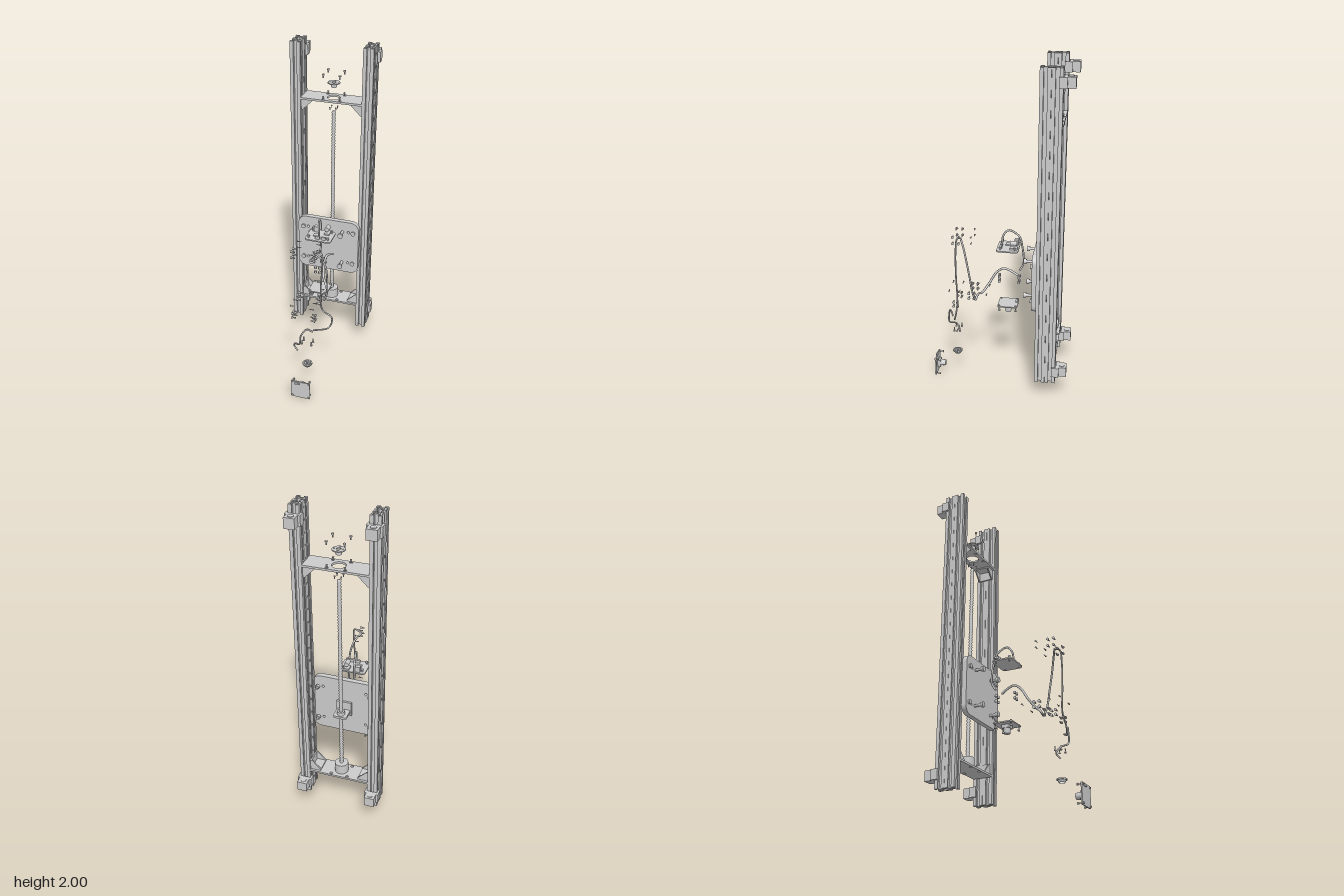
import * as THREE from 'three';

const grey = new THREE.MeshStandardMaterial({ color: 0xcccccc, side: THREE.DoubleSide });
const RZ = -0.296; // depth of the rails and lead screw

export function createModel() {
  const model = new THREE.Group();

  const add = (name, geo, x = 0, y = 0, z = 0, parent = model) => {
    const m = new THREE.Mesh(geo, grey);
    m.name = name;
    m.position.set(x, y, z);
    parent.add(m);
    return m;
  };
  const box = (name, w, h, d, x, y, z, parent) => add(name, new THREE.BoxGeometry(w, h, d), x, y, z, parent);
  const cyl = (name, r, h, x, y, z, parent, r2 = r) =>
    add(name, new THREE.CylinderGeometry(r2, r, h, 20), x, y, z, parent);
  const extrude = (shape, depth) =>
    new THREE.ExtrudeGeometry(shape, { depth, bevelEnabled: false, curveSegments: 16 });
  const hole = (shape, x, y, r) => shape.holes.push(new THREE.Path().absarc(x, y, r, 0, Math.PI * 2, true));
  const roundRect = (w, h, r) => {
    const s = new THREE.Shape(), a = w / 2 - r, b = h / 2 - r, q = Math.PI / 2;
    s.absarc(a, b, r, 0, q).absarc(-a, b, r, q, 2 * q);
    s.absarc(-a, -b, r, 2 * q, 3 * q).absarc(a, -b, r, 3 * q, 4 * q);
    return s;
  };
  const up = new THREE.Vector3(0, 1, 0);
  // Screw whose head is centred at the given point, with the shank running along dir
  const screw = (name, x, y, z, dir, len = 0.02, r = 0.007, parent = model) => {
    const g = new THREE.Group();
    g.name = name;
    cyl('screwHead', r, r, 0, 0, 0, g, r * 0.85);
    cyl('screwShank', r * 0.5, len, 0, len / 2, 0, g);
    g.position.set(x, y, z);
    g.quaternion.setFromUnitVectors(up, new THREE.Vector3(...dir));
    parent.add(g);
  };

  // Slotted rails: two square cells side by side
  const h = 0.0305;
  const side = [[-h, h], [-0.01, h], [-0.01, h - 0.006], [-0.019, h - 0.006], [-0.019, 0.021], [-0.01, 0.012],
    [0.01, 0.012], [0.019, 0.021], [0.019, h - 0.006], [0.01, h - 0.006], [0.01, h]];
  const cell = new THREE.Shape();
  const pts = [];
  for (let k = 0; k < 4; k++) {
    const c = Math.cos(k * Math.PI / 2), s = -Math.sin(k * Math.PI / 2);
    for (const [x, y] of side) pts.push(new THREE.Vector2(x * c - y * s, x * s + y * c));
  }
  cell.setFromPoints(pts);
  hole(cell, 0, 0, 0.006);
  const cellGeo = extrude(cell, 1.88).rotateX(-Math.PI / 2);

  // Triangular side of a corner gusset
  const tri = new THREE.Shape([[0, 0], [0.065, 0], [0.065, -0.01], [0.01, -0.065], [0, -0.065]]
    .map(p => new THREE.Vector2(...p)));

  for (const sx of [-1, 1]) {
    for (const dz of [-0.031, 0.031]) add('rail', cellGeo, sx * 0.213, 0.12, RZ + dz);

    // Rear mounting feet clipped around the rails
    for (const y of [0.2, 1.925]) {
      const foot = new THREE.Group();
      foot.name = 'rearFoot';
      foot.position.set(sx * 0.213, y, 0);
      box('footBlock', 0.06, 0.06, 0.06, 0, 0, -0.393, foot);
      box('footBridge', 0.086, 0.06, 0.018, 0, 0, -0.37, foot);
      for (const s of [-1, 1]) box('footTab', 0.012, 0.06, 0.042, s * 0.037, 0, -0.356, foot);
      cyl('footBoss', 0.017, 0.004, 0, 0.031, -0.395, foot);
      model.add(foot);
    }

    // Corner gussets below the top plate and above the bottom plate
    for (const [y, flip] of [[1.662, 1], [0.29, -1]]) {
      const g = new THREE.Group();
      g.name = 'cornerGusset';
      for (const z of [-0.345, -0.255]) add('gussetSide', extrude(tri, 0.008), 0, 0, z, g);
      box('gussetFoot', 0.065, 0.008, 0.09, 0.0325, -0.004, -0.296, g);
      box('gussetWall', 0.008, 0.065, 0.09, 0.004, -0.0325, -0.296, g);
      g.position.set(sx * 0.183, y, 0);
      g.scale.set(-sx, flip, 1);
      model.add(g);
    }
  }

  // Cross plates, the top one with a bearing opening
  const plate = (open) => {
    const s = roundRect(0.37, 0.124, 0.003);
    for (const x of [-0.05, 0.05]) for (const y of [-0.048, 0.048]) hole(s, x, y, 0.009);
    if (open) hole(s, 0, 0, 0.038);
    return extrude(s, 0.012).rotateX(-Math.PI / 2);
  };
  add('topPlate', plate(true), 0, 1.662, RZ);
  add('bottomPlate', plate(false), 0, 0.278, RZ);
  cyl('screwCoupler', 0.04, 0.062, 0, 0.32, RZ);

  // Threaded lead screw
  const thread = [new THREE.Vector2(0, 0.33)];
  for (let i = 0; i <= 140; i++) thread.push(new THREE.Vector2(i % 2 ? 0.0125 : 0.009, 0.33 + i * 0.009));
  thread.push(new THREE.Vector2(0, 1.59));
  add('leadScrew', new THREE.LatheGeometry(thread, 14), 0, 0, RZ);

  // Bearing flange and its screws lifted above the top plate
  const flange = new THREE.Shape().absarc(0, 0, 0.036, 0, Math.PI * 2);
  hole(flange, 0, 0, 0.013);
  for (let k = 0; k < 4; k++) hole(flange, 0.025 * Math.cos(k * 1.571), 0.025 * Math.sin(k * 1.571), 0.004);
  add('bearingFlange', extrude(flange, 0.006).rotateX(-Math.PI / 2), 0, 1.76, RZ);
  cyl('flangeCollar', 0.016, 0.018, 0, 1.745, RZ);
  for (const x of [-1, 1]) for (const z of [-1, 1]) {
    screw('bearingScrew', x * 0.049, 1.82, RZ + z * 0.048, [0, -1, 0], 0.018, 0.008);
    screw('plateScrew', x * 0.049, 1.688, RZ + z * 0.048, [0, -1, 0], 0.03, 0.006);
    screw('endScrew', x * 0.018, 1.615, RZ + z * 0.018, [0, -1, 0], 0.014, 0.005);
  }

  // Carriage plate with rail bolts, long front screws and the nut bracket
  const carriage = roundRect(0.388, 0.36, 0.05);
  for (const x of [-1, 1]) for (const y of [-0.11, 0.11]) {
    hole(carriage, x * 0.13, y, 0.008);
    screw('railBolt', x * 0.16, 0.73 + y, -0.201, [0, 0, -1], 0.07, 0.014);
    screw('carriageScrew', x * 0.092, 0.73 + y, -0.155, [0, 0, -1], 0.06, 0.017);
    cyl('carriageNut', 0.013, 0.016, x * 0.16, 0.73 + y, -0.25).rotation.x = Math.PI / 2;
  }
  add('carriagePlate', extrude(carriage, 0.03), 0, 0.73, -0.235);
  box('nutBracketBack', 0.09, 0.09, 0.012, 0, 0.72, -0.241);
  const nutArm = roundRect(0.08, 0.08, 0.01);
  hole(nutArm, 0, 0, 0.012);
  add('nutBracketArm', extrude(nutArm, 0.014).rotateX(-Math.PI / 2), 0, 0.7, -0.285);
  cyl('leadNut', 0.022, 0.035, 0, 0.72, RZ);

  // Upper circuit board with its components
  const pcb = roundRect(0.16, 0.13, 0.02);
  for (const x of [-0.06, 0.06]) for (const y of [-0.043, 0.043]) {
    hole(pcb, x, y, 0.004);
    screw('boardScrew', x, 0.902, -0.045 + y, [0, -1, 0], 0.03, 0.008);
  }
  add('circuitBoard', extrude(pcb, 0.008).rotateX(-Math.PI / 2), 0, 0.88, -0.045);
  box('capacitorBase', 0.032, 0.01, 0.045, 0.035, 0.893, -0.08);
  cyl('capacitor', 0.014, 0.042, 0.035, 0.925, -0.08).rotation.x = Math.PI / 2;
  box('terminalBlock', 0.03, 0.035, 0.025, -0.035, 0.906, -0.09);
  for (const x of [-0.005, 0.033]) box('boardConnector', 0.028, 0.018, 0.012, x, 0.897, -0.003);
  box('boardChip', 0.03, 0.006, 0.03, -0.025, 0.891, -0.04);

  // Square lens boards: one facing down, one facing back
  const lensBoard = (x, y, z, tilt) => {
    const g = new THREE.Group();
    g.name = 'lensBoard';
    const s = roundRect(0.12, 0.12, 0.006);
    add('lensBoardPlate', extrude(s, 0.007), 0, 0, -0.0035, g);
    const barrel = cyl('lensBarrel', 0.018, 0.05, 0, 0, -0.028, g, 0.022);
    barrel.rotation.x = Math.PI / 2;
    box('lensHolder', 0.046, 0.046, 0.02, 0, 0, -0.012, g);
    box('lensBoardPlug', 0.03, 0.012, 0.01, -0.02, 0.048, 0.006, g);
    for (const a of [-0.05, 0.05]) for (const b of [-0.05, 0.05]) {
      screw('lensBoardScrew', a, b, 0.006, [0, 0, -1], 0.034, 0.006, g);
      cyl('lensBoardNut', 0.007, 0.008, a, b, -0.025, g).rotation.x = Math.PI / 2;
    }
    g.position.set(x, y, z);
    g.rotation.x = tilt;
    model.add(g);
  };
  lensBoard(0, 0.51, -0.045, -Math.PI / 2);
  lensBoard(0.02, 0.062, 0.405, 0);

  // Perforated lens ring
  const ring = new THREE.Shape().absarc(0, 0, 0.03, 0, Math.PI * 2);
  hole(ring, 0, 0, 0.007);
  for (let k = 0; k < 8; k++) hole(ring, 0.019 * Math.cos(k * 0.785), 0.019 * Math.sin(k * 0.785), 0.005);
  add('lensRing', extrude(ring, 0.007).rotateX(-Math.PI / 2), 0.02, 0.158, 0.273);
  add('lensRingSkirt', new THREE.CylinderGeometry(0.024, 0.018, 0.015, 24, 1, true), 0.02, 0.151, 0.273);

  // Cables
  const cable = (name, r, path) => add(name, new THREE.TubeGeometry(
    new THREE.CatmullRomCurve3(path.map(p => new THREE.Vector3(...p))), 70, r, 8));
  cable('boardCable', 0.006, [[0.005, 0.9, -0.005], [0, 0.96, -0.015], [-0.008, 0.988, -0.045],
    [-0.018, 0.95, -0.105], [-0.022, 0.88, -0.125], [-0.024, 0.77, -0.132], [-0.02, 0.725, -0.11]]);
  cable('archCable', 0.007, [[0.06, 0.73, -0.11], [0.05, 0.755, -0.06], [0.045, 0.762, -0.02], [0.045, 0.735, 0.02],
    [0.055, 0.67, 0.06], [0.083, 0.615, 0.1], [0.062, 0.59, 0.13], [0.085, 0.56, 0.145]]);
  cable('risingCable', 0.006, [[0.085, 0.56, 0.145], [0.105, 0.62, 0.158], [0.112, 0.72, 0.172],
    [0.108, 0.83, 0.192], [0.085, 0.9, 0.212], [0.05, 0.945, 0.235]]);
  cable('fallingCable', 0.005, [[0.05, 0.945, 0.235], [0.1, 0.955, 0.248], [0.107, 0.87, 0.255], [0.1, 0.72, 0.257],
    [0.108, 0.57, 0.25], [0.165, 0.52, 0.245], [0.15, 0.455, 0.26], [0.06, 0.425, 0.275]]);
  cable('lowerCable', 0.005, [[0.06, 0.425, 0.29], [0.03, 0.45, 0.31], [0, 0.41, 0.326],
    [-0.01, 0.345, 0.328], [-0.045, 0.32, 0.3], [-0.062, 0.285, 0.278], [-0.035, 0.26, 0.29]]);

  // Loose side screws in mirrored pairs, as [y, z, head radius]
  const loose = [[0.955, 0.28, 0.008], [0.915, 0.28, 0.008], [0.955, 0.245, 0.008], [0.915, 0.245, 0.008],
    [0.96, 0.17, 0.005], [0.92, 0.17, 0.005], [0.592, 0.155, 0.009], [0.56, 0.155, 0.009], [0.592, 0.187, 0.009],
    [0.56, 0.187, 0.009], [0.59, 0.08, 0.005], [0.525, 0.283, 0.008], [0.498, 0.283, 0.008],
    [0.525, 0.258, 0.008], [0.498, 0.258, 0.008], [0.6, 0.308, 0.005], [0.6, 0.245, 0.005]];
  for (const [y, z, r] of loose) for (const s of [-1, 1]) screw('sideScrew', s * 0.069, y, z, [-s, 0, 0], 0.022, r);

  // Small standoffs under the board and upright screws over the lens ring
  for (const x of [-0.013, 0.013]) for (const z of [-0.11, 0.01]) for (const y of [0.66, 0.692])
    cyl('standoff', 0.008, 0.014, x, y, z);
  for (const x of [-0.01, 0.05]) for (const z of [0.25, 0.285])
    screw('ringScrew', x, 0.318, z, [0, 1, 0], 0.022, 0.007);

  return model;
}
